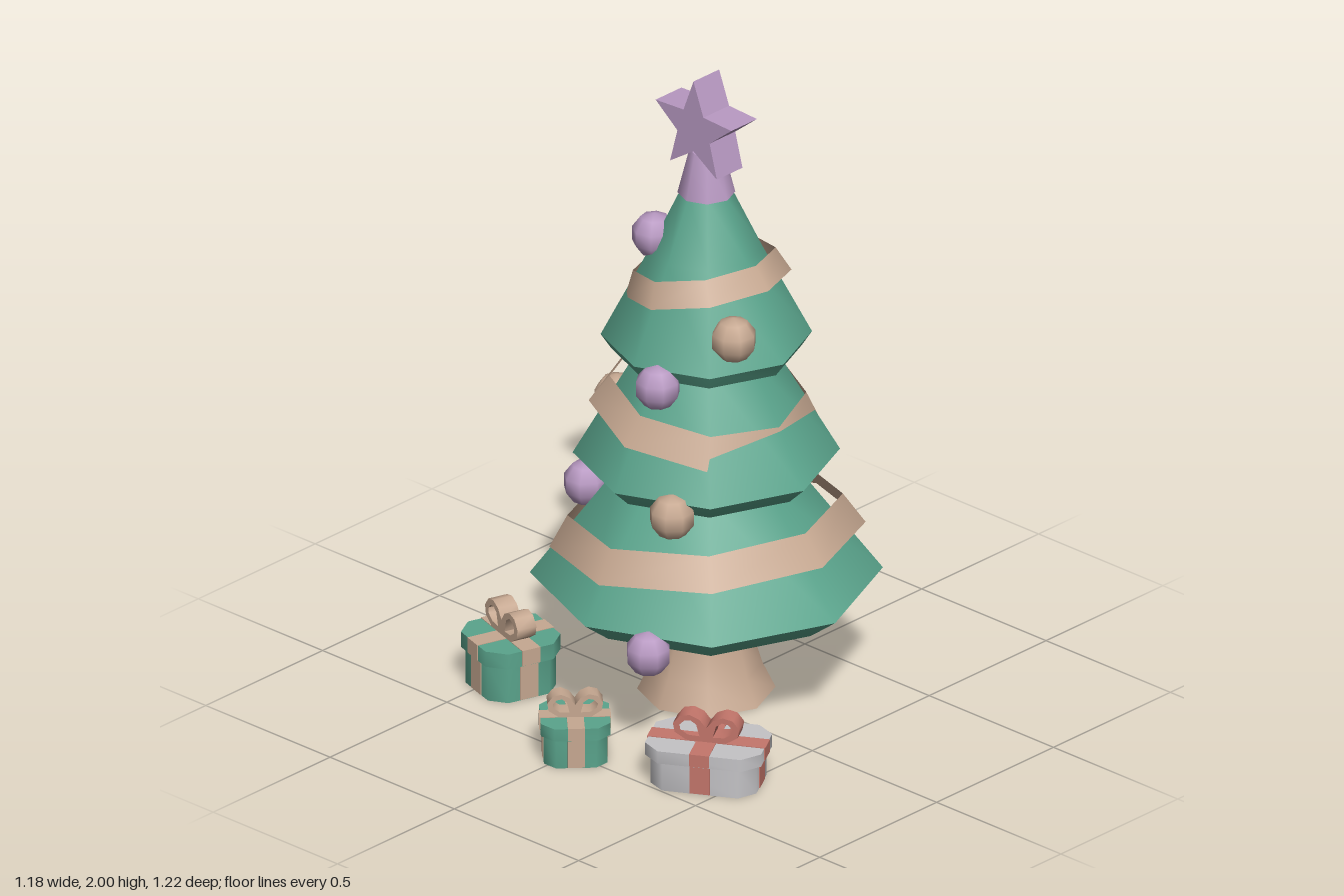
import * as THREE from 'three';
import { toCreasedNormals } from 'three/addons/utils/BufferGeometryUtils.js';

const mat = (name, color, side = THREE.FrontSide) => {
  const m = new THREE.MeshStandardMaterial({ color, side });
  m.name = name;
  return m;
};

export function createModel() {
  const green = mat('green', 0x5aa48c);
  const tan = mat('tan', 0xc6a891, THREE.DoubleSide);
  const purple = mat('purple', 0xb899c2);
  const red = mat('red', 0xc4766b);
  const grey = mat('grey', 0xc4c3c6);

  const root = new THREE.Group();
  root.name = 'decoratedTree';

  const add = (parent, name, geo, material, x = 0, y = 0, z = 0) => {
    const mesh = new THREE.Mesh(geo, material);
    mesh.name = name;
    mesh.position.set(x, y, z);
    parent.add(mesh);
    return mesh;
  };
  // eight-sided turned part, soft around the sides and sharp at the rims
  const turned = (profile) => toCreasedNormals(
    new THREE.LatheGeometry(profile.map(([r, y]) => new THREE.Vector2(r, y)), 8), 0.85);

  // Tree, standing slightly behind the centre
  const tree = new THREE.Group();
  tree.name = 'tree';
  tree.position.set(-0.013, 0, -0.092);
  root.add(tree);

  add(tree, 'trunk', turned([[0, 0], [0.203, 0], [0.165, 0.08], [0.135, 0.18], [0.11, 0.33]]), tan);
  const tiers = [
    [[0, 0.31], [0.42, 0.31], [0.518, 0.385], [0.255, 0.73], [0, 0.73]],
    [[0, 0.72], [0.335, 0.72], [0.392, 0.775], [0.19, 1.125], [0, 1.125]],
    [[0, 1.115], [0.28, 1.115], [0.31, 1.16], [0.165, 1.44], [0.075, 1.63], [0, 1.63]],
  ];
  tiers.forEach((p, i) => add(tree, `foliageTier${i + 1}`, turned(p), green));

  // Tilted garland bands: top radius, bottom radius, height, centre y, tilt
  [
    [0.405, 0.465, 0.095, 0.55, 0.1],
    [0.29, 0.342, 0.09, 0.95, -0.155],
    [0.212, 0.247, 0.075, 1.362, 0.22],
  ].forEach(([rt, rb, h, y, tilt], i) => {
    const band = add(tree, `garland${i + 1}`, new THREE.CylinderGeometry(rt, rb, h, 8, 1, true), tan, 0, y, 0);
    band.rotation.z = tilt;
  });

  // Star and its socket
  add(tree, 'starSocket', turned([[0, 1.62], [0.085, 1.62], [0.05, 1.76], [0, 1.765]]), purple);
  const star = new THREE.Shape();
  for (let i = 0; i < 10; i++) {
    const r = i % 2 ? 0.068 : 0.16, a = Math.PI / 2 + i * Math.PI / 5;
    star[i ? 'lineTo' : 'moveTo'](r * Math.cos(a), r * Math.sin(a));
  }
  star.closePath();
  add(tree, 'star', new THREE.ExtrudeGeometry(star, { depth: 0.11, bevelEnabled: false }), purple, 0, 1.84, -0.055);

  // Baubles
  [
    [purple, -0.14, 1.47, -0.005], [tan, 0.215, 1.26, 0.033], [purple, 0.052, 1.105, 0.185],
    [tan, -0.343, 0.855, -0.06], [tan, 0.15, 0.73, 0.228], [purple, -0.335, 0.625, 0.08],
    [purple, 0.165, 0.33, 0.345],
  ].forEach(([m, x, y, z], i) => {
    const ball = add(root, `bauble${i + 1}`, new THREE.SphereGeometry(0.07, 8, 5), m, x, y, z);
    ball.rotation.y = Math.atan2(x + 0.013, z + 0.092);
  });

  // Box with cut corners, standing on its own base
  const cutBox = (w, h, d, c) => {
    const a = w / 2, b = d / 2;
    const s = new THREE.Shape([
      [a - c, -b], [a, c - b], [a, b - c], [a - c, b], [c - a, b], [-a, b - c], [-a, c - b], [c - a, -b],
    ].map(([x, y]) => new THREE.Vector2(x, y)));
    const g = new THREE.ExtrudeGeometry(s, { depth: h, bevelEnabled: false });
    g.rotateX(-Math.PI / 2);
    return toCreasedNormals(g, 0.85);
  };

  // One bow loop: a band with a hole, mirrored by side
  const bowLoop = (side, w, h, depth) => {
    const pts = (list) => list.map(([x, y]) => new THREE.Vector2(side * x * w, y * h));
    const s = new THREE.Shape(pts([[0, 0], [0.6, 0.04], [0.95, 0.3], [1, 0.62], [0.8, 0.92], [0.5, 1], [0.2, 0.85], [0, 0.55]]));
    s.holes.push(new THREE.Path(pts([[0.2, 0.22], [0.55, 0.24], [0.78, 0.42], [0.8, 0.6], [0.66, 0.76], [0.48, 0.8], [0.3, 0.66]])));
    const g = new THREE.ExtrudeGeometry(s, { depth, bevelEnabled: false });
    g.translate(0, 0, -depth / 2);
    return toCreasedNormals(g, 0.85);
  };

  // Wrapped gift: width, depth, height, corner cut, ribbon width
  const gift = (name, box, ribbon, [w, d, h, c, rw], x, z, turn, bowW, bowH) => {
    const g = new THREE.Group();
    g.name = name;
    g.position.set(x, 0, z);
    g.rotation.y = turn;
    root.add(g);
    const bodyH = h * 0.7, t = 0.006;
    const bw = w * 0.91, bd = d * 0.91;
    add(g, 'giftBody', cutBox(bw, bodyH, bd, c * 0.9), box);
    add(g, 'giftLid', cutBox(w, h - bodyH, d, c), box, 0, bodyH, 0);
    // crossed ribbons over body and lid
    const lidH = h - bodyH;
    add(g, 'bodyRibbonLong', new THREE.BoxGeometry(bw + t, bodyH - 0.004, rw), ribbon, 0, bodyH / 2, 0);
    add(g, 'bodyRibbonCross', new THREE.BoxGeometry(rw, bodyH - 0.004, bd + t), ribbon, 0, bodyH / 2, 0);
    add(g, 'lidRibbonLong', new THREE.BoxGeometry(w + t, lidH, rw), ribbon, 0, bodyH + lidH / 2 + 0.002, 0);
    add(g, 'lidRibbonCross', new THREE.BoxGeometry(rw, lidH, d + t), ribbon, 0, bodyH + lidH / 2 + 0.002, 0);
    for (const side of [1, -1]) {
      add(g, side > 0 ? 'bowLoopLeft' : 'bowLoopRight', bowLoop(side, bowW, bowH, rw * 1.05), ribbon, 0, h, 0);
    }
  };

  gift('giftGreenLarge', green, tan, [0.25, 0.25, 0.165, 0.05, 0.06], -0.45, 0.28, -0.32, 0.1, 0.092);
  gift('giftGreenSmall', green, tan, [0.205, 0.205, 0.132, 0.038, 0.05], 0.008, 0.493, 0.8, 0.082, 0.075);
  gift('giftGrey', grey, red, [0.35, 0.24, 0.132, 0.05, 0.06], 0.405, 0.343, 0.52, 0.1, 0.085);

  return root;
}
